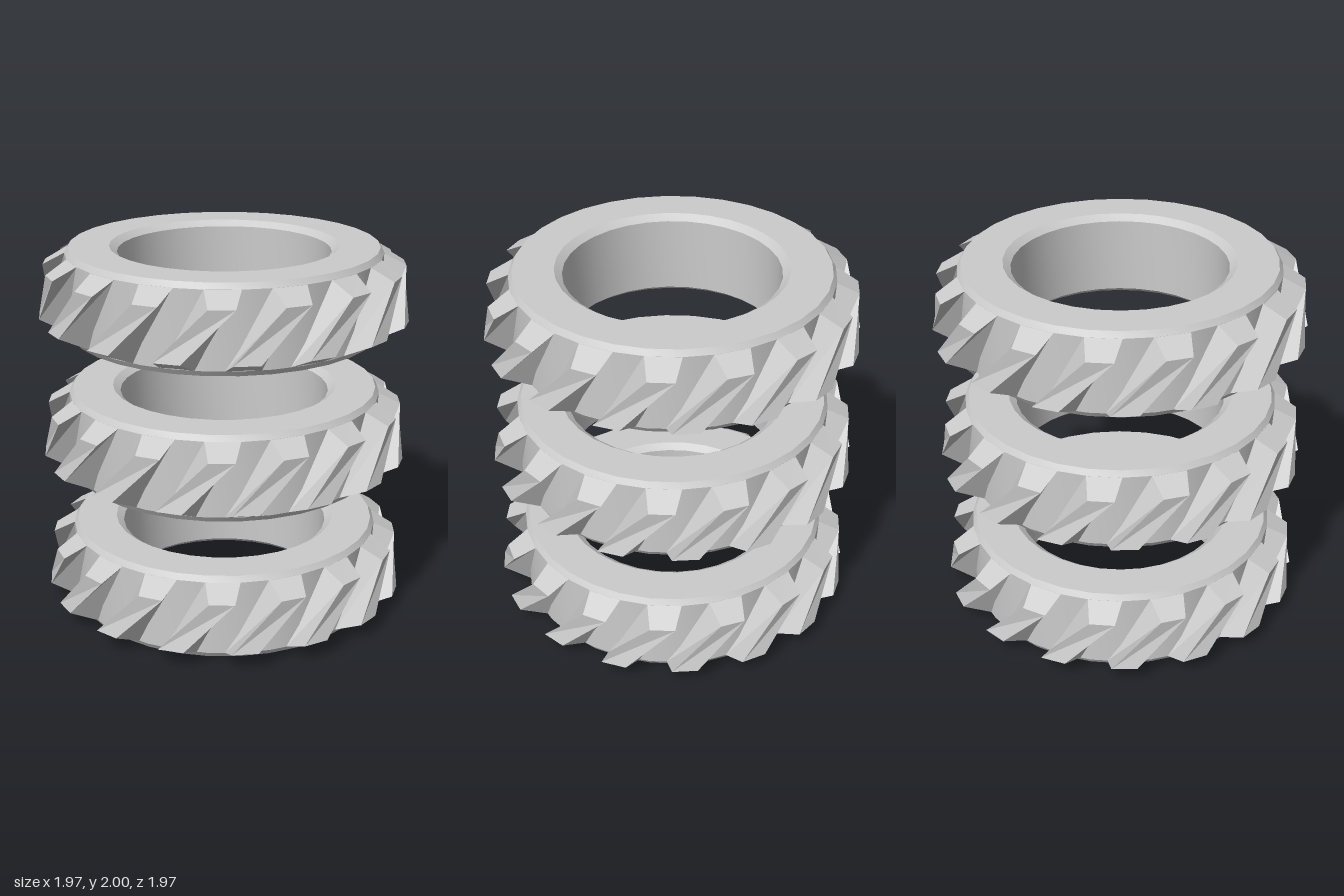
import * as THREE from 'three';
import { mergeGeometries, toCreasedNormals } from 'three/addons/utils/BufferGeometryUtils.js';

const TEETH = 16;
const HEIGHT = 0.465;
const material = new THREE.MeshStandardMaterial({ color: 0xcccccc });

// Point on the ring: angle in degrees from the front, radius, height
function polar(deg, r, y) {
  const a = THREE.MathUtils.degToRad(deg);
  return [r * Math.sin(a), y, r * Math.cos(a)];
}

// Ring body with chamfered rim and bore
function bodyGeometry() {
  const profile = [
    [0.565, 0.03], [0.605, 0], [0.82, 0], [0.84, 0.03],
    [0.84, HEIGHT - 0.03], [0.82, HEIGHT], [0.605, HEIGHT], [0.565, HEIGHT - 0.03], [0.565, 0.03],
  ].map(([r, y]) => new THREE.Vector2(r, y));
  return toCreasedNormals(new THREE.LatheGeometry(profile, 32), 0.4);
}

// One slanted tooth: four levels of left and right corners, from lower root to upper root
function toothGeometry(turn) {
  const levels = [
    [-5, 7.4, 0.836, 0.03],
    [-3, 5, 0.985, 0.1],
    [12.5, 20.5, 0.957, 0.367],
    [10.5, 23, 0.836, 0.437],
  ];
  const L = levels.map(([a, , r, y]) => polar(a + turn, r, y));
  const R = levels.map(([, b, r, y]) => polar(b + turn, r, y));
  const pos = [];
  const quad = (a, b, c, d) => pos.push(...a, ...b, ...c, ...a, ...c, ...d);
  for (let i = 0; i < 3; i++) quad(L[i], R[i], R[i + 1], L[i + 1]); // lower bevel, land, upper bevel
  quad(L[0], L[1], L[2], L[3]); // left flank
  quad(R[3], R[2], R[1], R[0]); // right flank
  const g = new THREE.BufferGeometry();
  g.setAttribute('position', new THREE.Float32BufferAttribute(pos, 3));
  g.computeVertexNormals();
  return g;
}

export function createModel() {
  const model = new THREE.Group();
  model.name = 'gearStack';
  const body = bodyGeometry();
  const teeth = mergeGeometries(
    Array.from({ length: TEETH }, (_, i) => toothGeometry((i * 360) / TEETH)));

  // Three identical helical gears, evenly spaced
  ['lowerGear', 'middleGear', 'upperGear'].forEach((name, i) => {
    const gear = new THREE.Group();
    gear.name = name;
    const ring = new THREE.Mesh(body, material);
    ring.name = 'gearRing';
    const rim = new THREE.Mesh(teeth, material);
    rim.name = 'helicalTeeth';
    gear.add(ring, rim);
    gear.position.y = (i * (2 - HEIGHT)) / 2;
    model.add(gear);
  });
  return model;
}
